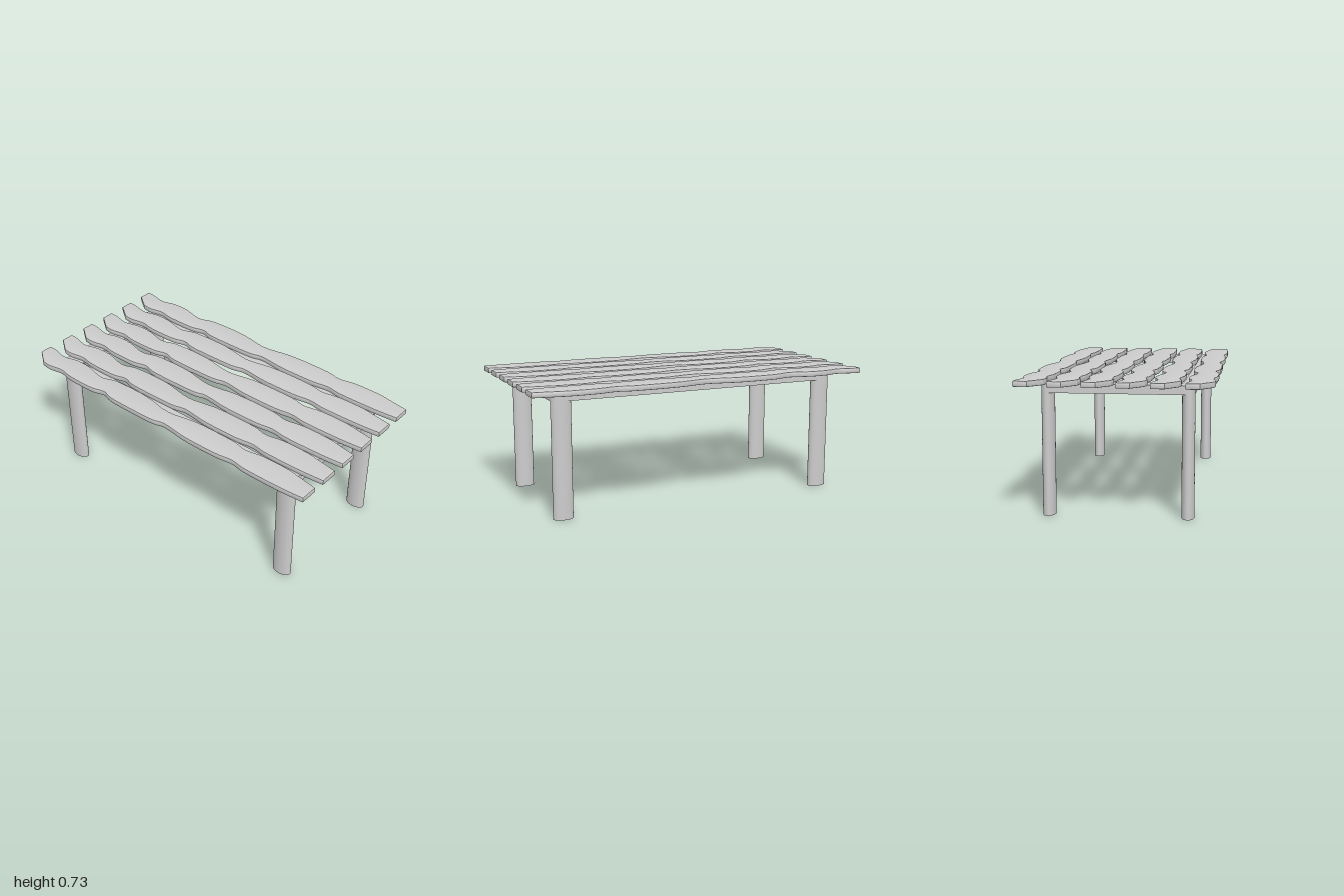
import * as THREE from 'three';
import { toCreasedNormals } from 'three/addons/utils/BufferGeometryUtils.js';

const material = new THREE.MeshStandardMaterial({ color: 0xcccccc });
const LEG_X = 0.808, LEG_Z = 0.367, LEG_RX = 0.057, LEG_RZ = 0.034;
const FRAME_TOP = 0.7, FRAME_H = 0.048;

function part(name, geometry, x, y, z) {
  const mesh = new THREE.Mesh(geometry, material);
  mesh.name = name;
  mesh.position.set(x, y, z);
  return mesh;
}

// Wavy plank outline: back and front edges as [x, z], both from left to right of the top
function plankGeometry() {
  const back = [
    [-1, -0.073], [-0.95, -0.072], [-0.855, -0.052], [-0.77, -0.072], [-0.66, -0.072], [-0.53, -0.043],
    [-0.42, -0.071], [-0.2, -0.073], [0, -0.042], [0.19, -0.071], [0.44, -0.072], [0.54, -0.055],
    [0.65, -0.073], [0.8, -0.073], [0.89, -0.06], [1, -0.042],
  ];
  const front = [
    [1, 0.062], [0.86, 0.072], [0.64, 0.073], [0.54, 0.06], [0.43, 0.073], [0.22, 0.073], [0.06, 0.055],
    [-0.04, 0.073], [-0.32, 0.073], [-0.41, 0.053], [-0.5, 0.073], [-0.67, 0.073], [-0.76, 0.058],
    [-0.85, 0.072], [-0.91, 0.066],
  ];
  const smooth = (pts) =>
    new THREE.SplineCurve(pts.map(([x, z]) => new THREE.Vector2(x, -z))).getPoints(pts.length * 4);
  // Diagonal cut at the left end closes the outline
  const outline = [...smooth(back), ...smooth(front), new THREE.Vector2(-1, 0)];
  const bevel = 0.005;
  const geometry = new THREE.ExtrudeGeometry(new THREE.Shape(outline), {
    depth: 0.031 - 2 * bevel,
    bevelThickness: bevel,
    bevelSize: bevel,
    bevelOffset: -bevel,
    bevelSegments: 2,
  });
  geometry.translate(0, 0, bevel).rotateX(-Math.PI / 2);
  return toCreasedNormals(geometry, 0.6);
}

export function createModel() {
  const table = new THREE.Group();
  table.name = 'slattedTable';

  // Table top: six identical planks
  const plank = plankGeometry();
  for (let i = 0; i < 6; i++) {
    table.add(part(`plank${i + 1}`, plank, 0, 0.697, (i - 2.5) * 0.1742));
  }

  // Oval legs
  const leg = new THREE.CylinderGeometry(1, 1, FRAME_TOP, 40);
  leg.scale(LEG_RX, 1, LEG_RZ);
  for (const sx of [-1, 1]) {
    for (const sz of [-1, 1]) {
      table.add(part(`${sz > 0 ? 'front' : 'back'}${sx > 0 ? 'Left' : 'Right'}Leg`, leg,
        sx * LEG_X, FRAME_TOP / 2, sz * LEG_Z));
    }
  }

  // Rails joining the legs under the planks
  const longRail = new THREE.BoxGeometry(2 * LEG_X, FRAME_H, 2 * LEG_RZ);
  const endRail = new THREE.BoxGeometry(2 * LEG_RX, FRAME_H, 2 * LEG_Z);
  const railY = FRAME_TOP - FRAME_H / 2;
  for (const s of [-1, 1]) {
    table.add(part(s > 0 ? 'frontRail' : 'backRail', longRail, 0, railY, s * LEG_Z));
    table.add(part(s > 0 ? 'leftRail' : 'rightRail', endRail, s * LEG_X, railY, 0));
  }
  return table;
}
